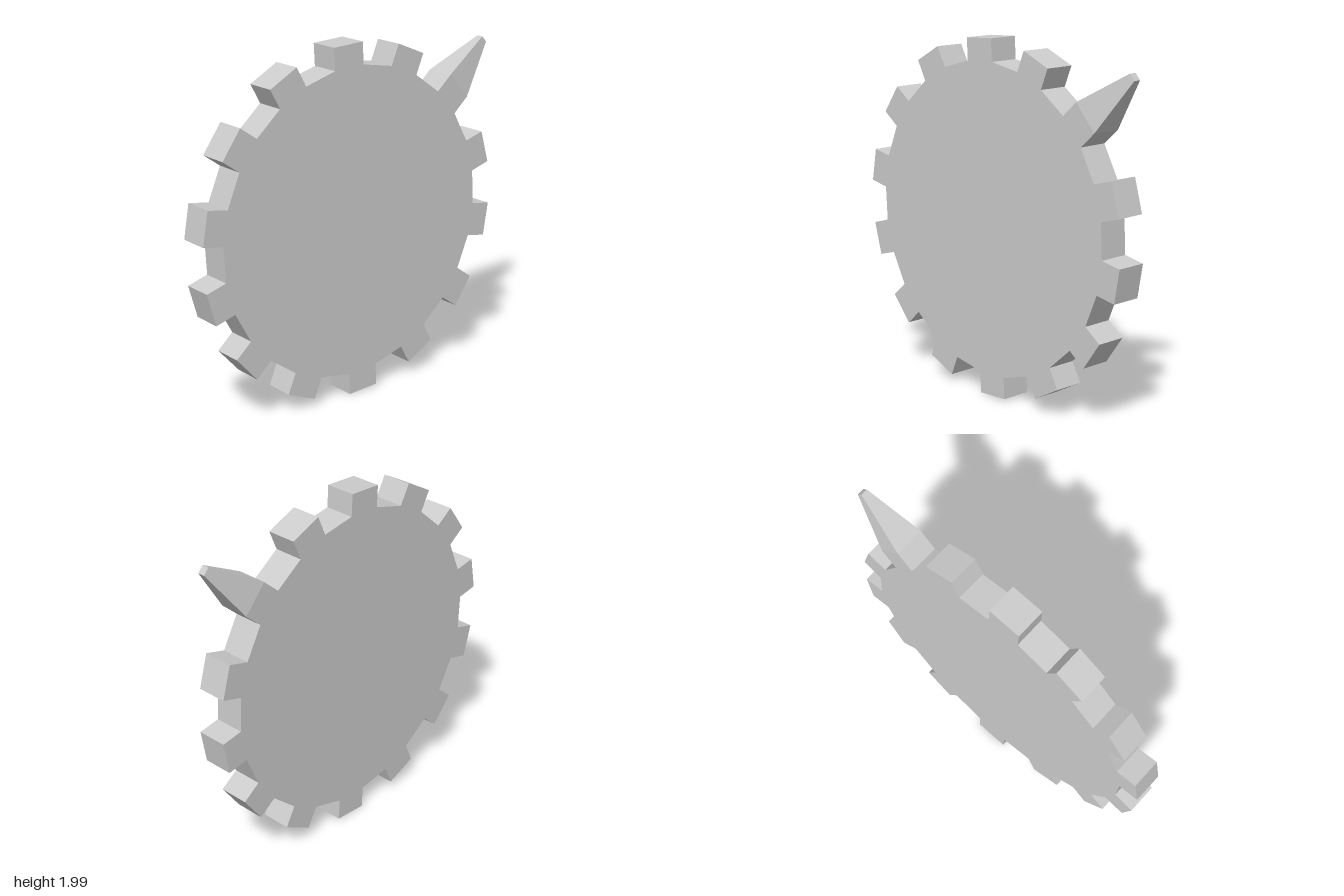
import * as THREE from 'three';

const TEETH = 14;
const ROOT = 0.866;        // centre to foot of a tooth
const OUTER = 0.99;        // centre to top of a tooth
const TIP = 1.325;         // centre to end of the spike
const HALF_TOOTH = 0.096;  // half the tooth width
const HALF_THICK = 0.086;  // half the wheel thickness
const PHASE = -0.054;      // clockwise angle of the first tooth from the top
const SPIKE_TOOTH = 2;

const toothAngle = (i) => PHASE + (i * Math.PI * 2) / TEETH;

// Point at a radius and sideways offset along a clockwise direction from the top
function polar(angle, radius, side) {
  const s = Math.sin(angle), c = Math.cos(angle);
  return new THREE.Vector2(radius * s + side * c, radius * c - side * s);
}

export function createModel() {
  const model = new THREE.Group();
  model.name = 'spikedGear';
  const material = new THREE.MeshStandardMaterial({ color: 0xcccccc, flatShading: true });

  // Gear drawn flat, then turned so that its axle lies along x
  const gear = new THREE.Group();
  gear.name = 'gear';
  gear.rotation.y = Math.PI / 2;
  gear.position.set(0, 1.004, 0.007);
  model.add(gear);

  // Solid toothed disc with straight edges between the teeth
  const outline = [];
  for (let i = 0; i < TEETH; i++) {
    const a = toothAngle(i);
    outline.push(
      polar(a, ROOT, -HALF_TOOTH), polar(a, OUTER, -HALF_TOOTH),
      polar(a, OUTER, HALF_TOOTH), polar(a, ROOT, HALF_TOOTH),
    );
  }
  const discGeometry = new THREE.ExtrudeGeometry(new THREE.Shape(outline), {
    depth: HALF_THICK * 2, bevelEnabled: false,
  });
  discGeometry.translate(0, 0, -HALF_THICK);
  const disc = new THREE.Mesh(discGeometry, material);
  disc.name = 'toothedDisc';
  gear.add(disc);

  // Tapered four-sided spike that lengthens one tooth
  const height = TIP - OUTER;
  const spikeGeometry = new THREE.CylinderGeometry(0.235 * Math.SQRT2, Math.SQRT2, height, 4);
  spikeGeometry.rotateY(Math.PI / 4);
  spikeGeometry.scale(HALF_TOOTH, 1, HALF_THICK);
  spikeGeometry.translate(0, OUTER + height / 2, 0);
  const spike = new THREE.Mesh(spikeGeometry, material);
  spike.name = 'spike';
  spike.rotation.z = -toothAngle(SPIKE_TOOTH);
  gear.add(spike);

  return model;
}
